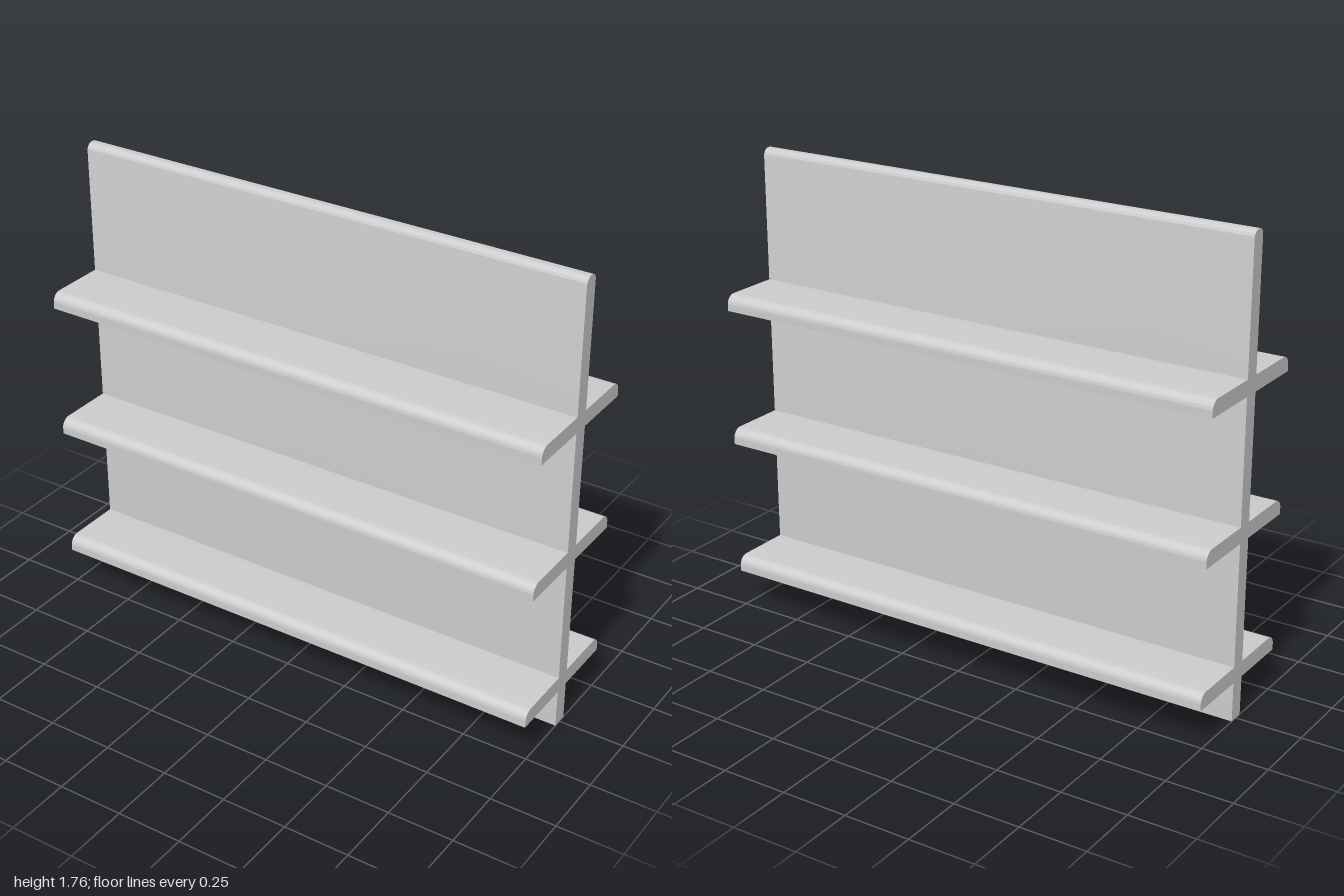
import * as THREE from 'three';
import { toCreasedNormals } from 'three/addons/utils/BufferGeometryUtils.js';

const LENGTH = 2, HEIGHT = 1.76, HALF_THICK = 0.03, REACH = 0.27, SHELF_THICK = 0.06;

// Extrude a (z, y) profile along the full length in x, centred
function extrudeAlongX(shape) {
  const geo = new THREE.ExtrudeGeometry(shape, { depth: LENGTH, bevelEnabled: false, curveSegments: 8 });
  geo.translate(0, 0, -LENGTH / 2);
  geo.rotateY(-Math.PI / 2);
  return toCreasedNormals(geo, 0.5);
}

export function createModel() {
  const group = new THREE.Group();
  const material = new THREE.MeshStandardMaterial({ color: 0xcccccc });

  // Upright panel with a rounded top edge
  const r = 0.027;
  const panelShape = new THREE.Shape();
  panelShape.moveTo(-HALF_THICK, 0);
  panelShape.lineTo(HALF_THICK, 0);
  panelShape.lineTo(HALF_THICK, HEIGHT - r);
  panelShape.absarc(HALF_THICK - r, HEIGHT - r, r, 0, Math.PI / 2, false);
  panelShape.absarc(r - HALF_THICK, HEIGHT - r, r, Math.PI / 2, Math.PI, false);
  panelShape.closePath();
  const panel = new THREE.Mesh(extrudeAlongX(panelShape), material);
  panel.name = 'uprightPanel';
  group.add(panel);

  // Shelf with a rounded upper lip, reaching out from the panel face
  const lip = 0.036;
  const shelfShape = new THREE.Shape();
  shelfShape.moveTo(HALF_THICK, 0);
  shelfShape.lineTo(REACH, 0);
  shelfShape.lineTo(REACH, SHELF_THICK - lip);
  shelfShape.absarc(REACH - lip, SHELF_THICK - lip, lip, 0, Math.PI / 2, false);
  shelfShape.lineTo(HALF_THICK, SHELF_THICK);
  shelfShape.closePath();
  const shelfGeo = extrudeAlongX(shelfShape);

  // Three levels, each with a front shelf and a back shelf
  [0.15, 0.675, 1.2].forEach((y, level) => {
    ['front', 'back'].forEach((side, i) => {
      const shelf = new THREE.Mesh(shelfGeo, material);
      shelf.name = `${side}Shelf${level + 1}`;
      shelf.position.y = y;
      shelf.rotation.y = i * Math.PI;
      group.add(shelf);
    });
  });

  return group;
}
